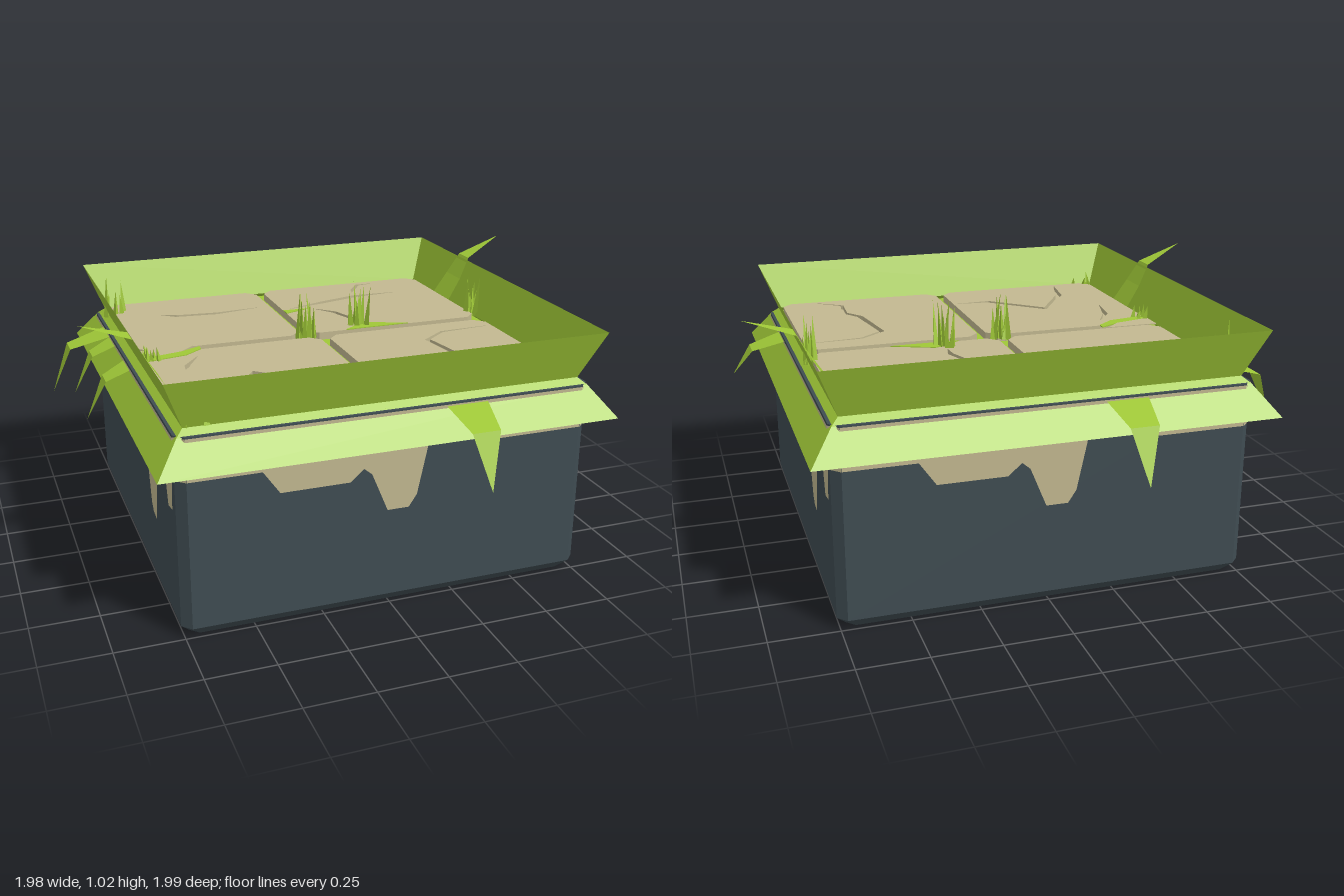
import * as THREE from 'three';

const makeMat = (name, color, side = THREE.FrontSide) => {
  const m = new THREE.MeshStandardMaterial({ color, side });
  m.name = name;
  return m;
};

// Flat-shaded geometry from a list of triangle corners
function facets(points) {
  const g = new THREE.BufferGeometry().setFromPoints(points);
  g.computeVertexNormals();
  return g;
}

// Square ring of half-size r with corners cut by c, at height y
function squareRing(y, r, c) {
  const ring = [];
  for (let i = 0; i < 4; i++) {
    const turn = (x, z) => new THREE.Vector3(x, y, z).applyAxisAngle(new THREE.Vector3(0, 1, 0), i * Math.PI / 2);
    if (c > 0) ring.push(turn(c - r, r));
    ring.push(turn(r - c, r));
  }
  return ring;
}

// Skin through [y, halfSize, cornerCut] rings, listed bottom to top
function loft(rows, capped) {
  const rings = rows.map((r) => squareRing(...r));
  const n = rings[0].length, out = [];
  for (let i = 0; i + 1 < rings.length; i++) {
    for (let j = 0; j < n; j++) {
      const k = (j + 1) % n, a = rings[i], b = rings[i + 1];
      out.push(a[j], a[k], b[k], a[j], b[k], b[j]);
    }
  }
  const first = rings[0], last = rings[rings.length - 1];
  for (let j = 1; capped && j + 1 < n; j++) {
    out.push(first[0], first[j + 1], first[j], last[0], last[j], last[j + 1]);
  }
  return facets(out);
}

// Tapered folded strip; rows are [outward, y, sideways centre, half width]
function bladeGeometry(rows) {
  const out = [];
  for (let i = 0; i + 1 < rows.length; i++) {
    const [a, b, c, d] = [rows[i], rows[i + 1]].flatMap(([o, y, s, w]) =>
      [new THREE.Vector3(s - w, y, o), new THREE.Vector3(s + w, y, o)]);
    out.push(a, b, d);
    if (rows[i + 1][3] > 0) out.push(a, d, c);
  }
  return facets(out);
}

// Closed outline around a crack, widest (half width w) at its middle
function crackPath([w, ...path]) {
  const left = [], right = [];
  path.forEach(([x, z], i) => {
    const p = path[Math.max(i - 1, 0)], q = path[Math.min(i + 1, path.length - 1)];
    const dir = new THREE.Vector2(q[0] - p[0], q[1] - p[1]).normalize();
    const half = 0.002 + w * Math.sin(Math.PI * i / (path.length - 1));
    left.push(new THREE.Vector2(x - dir.y * half, z + dir.x * half));
    right.unshift(new THREE.Vector2(x + dir.y * half, z - dir.x * half));
  });
  return new THREE.Path([...left, ...right]);
}

// Flat slab hanging down from y = 0, outlined in x and z
function slab(outline, cracks, depth) {
  const shape = new THREE.Shape(outline.map(([x, z]) => new THREE.Vector2(x, z)));
  shape.holes = cracks.map(crackPath);
  return new THREE.ExtrudeGeometry(shape, { depth, bevelEnabled: false }).rotateX(Math.PI / 2);
}

export function createModel() {
  const model = new THREE.Group();
  model.name = 'mossyStoneBlock';
  const slate = makeMat('slate', 0x3f4c52);
  const sand = makeMat('sand', 0xc2b890);
  const green = makeMat('grassGreen', 0x9fc837, THREE.DoubleSide);

  const add = (name, geometry, material, parent = model) => {
    const m = new THREE.Mesh(geometry, material);
    m.name = name;
    parent.add(m);
    return m;
  };

  // Bevelled block
  add('block', loft([[0, 0.725, 0.03], [0.04, 0.76, 0.033], [0.745, 0.76, 0.033]], true), slate);

  // Sand drips on the walls; opposite walls match
  const top = 0.74, band = 0.587, edge = 0.727;
  const addDrips = (turn, lower) => {
    const pts = [[-edge, top], [-edge, band], ...lower, [edge, band], [edge, top]];
    const g = new THREE.ShapeGeometry(new THREE.Shape(pts.map(([x, y]) => new THREE.Vector2(x, y))));
    add('sandDrip', g.translate(0, 0, 0.763).rotateY(turn * Math.PI / 2), sand);
    const corner = new THREE.PlaneGeometry(0.049, top - band).translate(0, (top + band) / 2, 1.0545);
    add('cornerSand', corner.rotateY((turn + 0.5) * Math.PI / 2), sand);
  };
  for (const half of [0, 2]) {
    addDrips(half, [[-0.47, band], [-0.41, 0.502], [-0.16, 0.502], [-0.11, 0.545], [-0.08, 0.52],
      [-0.02, 0.375], [0.06, 0.375], [0.09, 0.42], [0.14, 0.66], [0.29, 0.66], [0.32, band]]);
    addDrips(half + 1, [[-0.45, band], [-0.41, 0.66], [0.25, 0.66], [0.335, 0.33], [0.36, 0.305],
      [0.41, 0.297], [0.48, 0.572], [0.595, 0.572], [0.63, 0.455], [0.69, 0.465], [0.71, band]]);
  }

  // Grass collar: skirt outside, flared rim above, bed under the tiles
  add('grassSkirt', loft([[0.632, 0.837, 0], [0.742, 0.752, 0], [0.765, 0.725, 0]], false), green);
  add('grassRim', loft([[0.765, 0.725, 0], [0.945, 0.795, 0]], false), green);
  add('grassBed', new THREE.PlaneGeometry(1.49, 1.49).rotateX(-Math.PI / 2).translate(0, 0.748, 0), green);

  // Paving tiles with clipped corners and cut cracks, each on a solid base
  const addTile = (x0, z0, x1, z1, ...cracks) => {
    const c = 0.04;
    const outline = [[x0 + c, z0], [x1 - c, z0], [x1, z0 + c], [x1, z1 - c],
      [x1 - c, z1], [x0 + c, z1], [x0, z1 - c], [x0, z0 + c]];
    add('tile', slab(outline, cracks, 0.02), sand).position.y = 0.778;
    add('tileBase', slab(outline, [], 0.012), sand).position.y = 0.759;
  };
  addTile(-0.71, -0.71, -0.06, -0.045,
    [0.012, [-0.53, -0.5], [-0.47, -0.462], [-0.3, -0.445], [-0.12, -0.47]]);
  addTile(-0.025, -0.71, 0.71, -0.045,
    [0.014, [0.01, -0.405], [0.18, -0.455], [0.34, -0.5], [0.53, -0.505]],
    [0.008, [0.35, -0.54], [0.37, -0.6], [0.42, -0.67], [0.49, -0.675]],
    [0.01, [0.11, -0.37], [0.17, -0.3], [0.205, -0.2], [0.2, -0.14]]);
  addTile(-0.71, 0, -0.005, 0.72,
    [0.016, [-0.535, 0.69], [-0.5, 0.53], [-0.365, 0.325], [-0.16, 0.51], [-0.02, 0.512]],
    [0.008, [-0.515, 0.08], [-0.575, 0.17], [-0.605, 0.31]]);
  addTile(0.03, 0, 0.71, 0.72,
    [0.01, [0.69, 0.09], [0.48, 0.105], [0.385, 0.18], [0.425, 0.43], [0.475, 0.5], [0.465, 0.63], [0.57, 0.705]]);

  // Thin patches where stone and grass creep over the joints
  const addPatch = (name, material, outline) => {
    add(name, slab(outline, [], 0.004), material).position.y = 0.781;
  };
  addPatch('stoneChip', sand, [[-0.71, -0.045], [-0.5, -0.045], [-0.56, 0.01], [-0.71, 0.045]]);
  addPatch('grassWedge', green, [[-0.48, -0.03], [-0.48, 0], [-0.55, 0.055], [-0.71, 0.085], [-0.71, 0.045], [-0.56, 0.01]]);
  addPatch('grassWedge', green, [[0.13, -0.045], [0.21, -0.1], [0.24, -0.11], [0.4, -0.045]]);
  addPatch('grassWedge', green, [[-0.025, -0.385], [0.08, -0.38], [-0.025, -0.34]]);

  // Hanging leaves: quarter turns, sideways place, tip lean, half width, reach, tip height
  const addHanging = (turn, s, lean, w, reach, tipY) => {
    const rows = [[0.75, 0.738, s, w], [reach - 0.075, 0.69, s + lean / 2, w * 0.66], [reach, tipY, s + lean, 0]];
    add('hangingLeaf', bladeGeometry(rows).rotateY(turn * Math.PI / 2), green);
  };
  addHanging(0, 0.272, -0.01, 0.08, 0.995, 0.5);
  addHanging(2, 0.272, -0.01, 0.08, 0.995, 0.5);
  addHanging(1, -0.37, -0.06, 0.08, 0.96, 0.575);
  addHanging(-1, -0.48, 0, 0.075, 0.995, 0.5);
  addHanging(-1, -0.35, 0, 0.065, 0.925, 0.53);
  addHanging(-1, -0.04, 0, 0.065, 0.925, 0.53);

  // Leaves rising over the rim
  for (const [turn, s] of [[-1, 0.3], [1, 0.365]]) {
    const rows = [[0.7, 0.785, s, 0.075], [0.755, 0.87, s, 0.065], [0.802, 0.955, s, 0.045], [0.985, 1.022, s + 0.043, 0]];
    add('risingLeaf', bladeGeometry(rows).rotateY(turn * Math.PI / 2), green);
  }

  // Grass tufts
  let seed = 7;
  const rand = () => (seed = (seed * 16807) % 2147483647) / 2147483647;
  const addTuft = (x, z, height, count) => {
    const tuft = new THREE.Group();
    tuft.name = 'grassTuft';
    tuft.position.set(x, 0.765, z);
    model.add(tuft);
    for (let i = 0; i < count; i++) {
      const h = height * (0.5 + 0.5 * rand());
      const g = new THREE.ConeGeometry(0.014, h, 3).toNonIndexed().translate(0, h / 2, 0);
      g.computeVertexNormals();
      const blade = add('grassBlade', g, green, tuft);
      blade.position.set((rand() - 0.5) * 0.08, 0, (rand() - 0.5) * 0.05);
      blade.rotation.set((rand() - 0.5) * 0.35, rand() * 6, (rand() - 0.5) * 0.35);
    }
  };
  addTuft(-0.04, -0.03, 0.2, 9);
  addTuft(0.2, -0.1, 0.2, 10);
  addTuft(0.7, -0.12, 0.19, 8);
  addTuft(-0.69, 0.06, 0.08, 6);
  addTuft(-0.7, -0.6, 0.18, 5);
  addTuft(-0.68, 0.725, 0.07, 4);

  return model;
}
